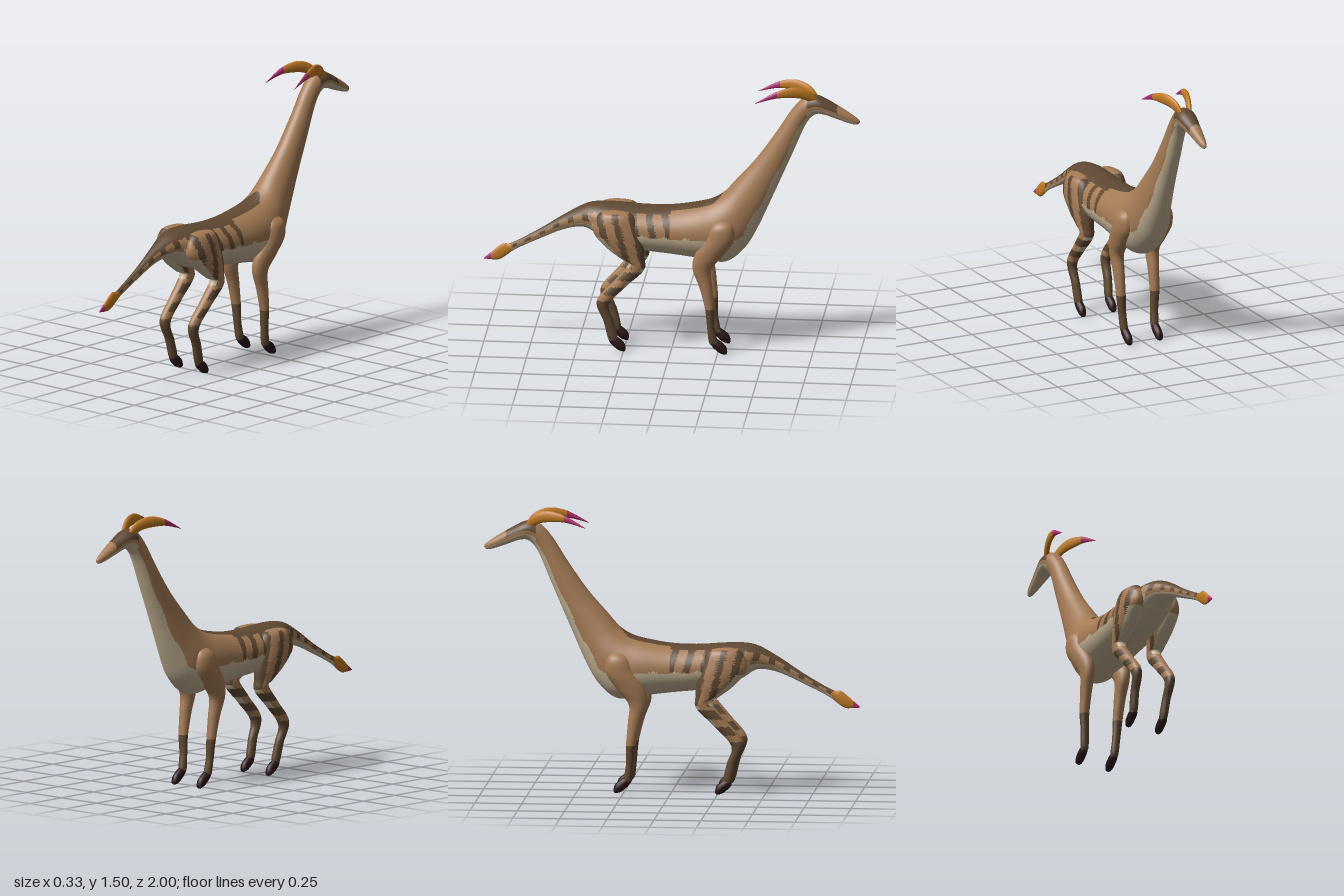
import * as THREE from 'three';

const mat = (name, color) => {
  const m = new THREE.MeshStandardMaterial({ color });
  m.name = name;
  return m;
};
const TAN = 0, DARK = 1, CREAM = 2, ORANGE = 3, PINK = 4, HOOF = 5;

// Smooth interpolation between the cross-section rows
function spline(p0, p1, p2, p3, t) {
  return 0.5 * (2 * p1 + (p2 - p0) * t + (2 * p0 - 5 * p1 + 4 * p2 - p3) * t * t
    + (3 * p1 - p0 - 3 * p2 + p3) * t * t * t);
}

// Lofts ellipses. Row: [zA, yA, zB, yB, halfWidth, centreX], A and B being opposite
// edges in the side plane. paint(x, y, z, s) picks a colour; s runs from 1 at A to -1 at B.
function loft(name, rows, mats, paint, { sides = 24, steps = 6, side = 1 } = {}) {
  const pos = [], sVal = [], n = (rows.length - 1) * steps;
  for (let i = 0; i <= n; i++) {
    const k = Math.min(Math.floor(i / steps), rows.length - 2), t = i / steps - k;
    const row = (j) => rows[Math.max(0, Math.min(rows.length - 1, j))];
    const [zA, yA, zB, yB, w, cx] = [0, 1, 2, 3, 4, 5].map((c) =>
      spline(row(k - 1)[c] || 0, row(k)[c] || 0, row(k + 1)[c] || 0, row(k + 2)[c] || 0, t));
    for (let j = 0; j < sides; j++) {
      const a = (j / sides) * Math.PI * 2, c = Math.cos(a);
      pos.push(cx * side + Math.sin(a) * Math.max(w, 0),
        (yA + yB) / 2 + c * (yA - yB) / 2, (zA + zB) / 2 + c * (zA - zB) / 2);
      sVal.push(c);
    }
  }
  const buckets = mats.map(() => []);
  const tri = (...v) => {
    const mid = (o) => (pos[v[0] * 3 + o] + pos[v[1] * 3 + o] + pos[v[2] * 3 + o]) / 3;
    const s = (sVal[v[0]] + sVal[v[1]] + sVal[v[2]]) / 3;
    buckets[paint(mid(0), mid(1), mid(2), s)].push(...v);
  };
  for (let i = 0; i < n; i++) {
    for (let j = 0; j < sides; j++) {
      const a = i * sides + j, b = i * sides + (j + 1) % sides;
      tri(a, b, a + sides);
      tri(b, b + sides, a + sides);
    }
  }
  const geo = new THREE.BufferGeometry();
  geo.setAttribute('position', new THREE.Float32BufferAttribute(pos, 3));
  geo.setIndex(buckets.flat());
  let start = 0;
  buckets.forEach((b, m) => {
    if (b.length) geo.addGroup(start, b.length, m);
    start += b.length;
  });
  geo.computeVertexNormals();
  const mesh = new THREE.Mesh(geo, mats);
  mesh.name = name;
  return mesh;
}

// Slanted flank stripes
const stripe = (y, z) => {
  const p = (z + 0.25 * (0.8 - y) - 0.035) / 0.087;
  return Math.abs(p - Math.round(p)) < 0.21;
};

function paintBody(x, y, z, s) {
  if (z > 0.963) return PINK;
  if (z > 0.845 + 0.02 * s * s) return ORANGE;
  if (z < -0.72 && y > 1.28) {
    if (s < -0.3) return CREAM;
    return z > -0.88 && s > 0.05 ? DARK : TAN;
  }
  // Pale underside, high on the belly and narrow on neck and tail
  const f = THREE.MathUtils.clamp((-0.15 - z) / 0.25, 0, 1);
  const edge = z > 0.42 ? -0.4 : THREE.MathUtils.lerp(-0.08, -0.52, f) + 0.05 * Math.sin(z * 55);
  if (s < edge) return CREAM;
  // Dark saddle, tail ridge and stripes
  if (z > 0.42) return s > 0.5 || (s > -0.15 && stripe(y, z)) ? DARK : TAN;
  const half = z < 0 ? 0.055 * Math.sqrt(Math.min(1, Math.max(0, (z + 0.27) / 0.05))) : 0.075;
  if (s > 0 && z > -0.27 && Math.abs(x) < half) return DARK;
  return z > 0 && y > 0.66 && stripe(y, z) ? DARK : TAN;
}

function paintHind(x, y, z, s) {
  if (y < 0.29) return DARK;
  if (y > 0.48) {
    if (s < -0.65 && y < 0.65) return CREAM;
    return stripe(y, z) && y < 0.78 ? DARK : TAN;
  }
  if (y < 0.46 && y > 0.41 || y < 0.37 && y > 0.325) return s > -0.75 ? DARK : TAN;
  return s > 0.55 && y > 0.36 ? CREAM : TAN;
}

const bodyRows = [
  [1, 0.47, 1, 0.466, 0.002], [0.965, 0.5, 0.955, 0.462, 0.008],
  [0.9, 0.553, 0.91, 0.468, 0.012], [0.85, 0.56, 0.83, 0.525, 0.012],
  [0.7, 0.645, 0.7, 0.59, 0.02], [0.57, 0.73, 0.57, 0.648, 0.036],
  [0.46, 0.79, 0.46, 0.665, 0.07], [0.38, 0.805, 0.38, 0.62, 0.105],
  [0.28, 0.803, 0.28, 0.57, 0.13], [0.14, 0.793, 0.14, 0.55, 0.14],
  [0, 0.797, 0, 0.535, 0.14], [-0.14, 0.82, -0.16, 0.515, 0.145],
  [-0.22, 0.845, -0.29, 0.5, 0.14], [-0.28, 0.885, -0.39, 0.58, 0.12],
  [-0.34, 0.953, -0.46, 0.7, 0.095], [-0.45, 1.08, -0.54, 0.88, 0.07],
  [-0.555, 1.23, -0.635, 1.1, 0.055], [-0.635, 1.355, -0.71, 1.275, 0.047],
  [-0.7, 1.425, -0.76, 1.335, 0.05], [-0.77, 1.442, -0.81, 1.338, 0.052],
  [-0.86, 1.4, -0.875, 1.315, 0.038], [-0.95, 1.345, -0.95, 1.29, 0.024],
  [-0.99, 1.315, -0.985, 1.285, 0.012], [-1, 1.3, -1, 1.3, 0],
];

const hindRows = [
  [0.28, 0.79, 0.32, 0.79, 0, 0.09], [0.2, 0.77, 0.38, 0.77, 0.045, 0.1],
  [0.16, 0.68, 0.41, 0.68, 0.06, 0.105], [0.14, 0.6, 0.34, 0.59, 0.055, 0.105],
  [0.135, 0.53, 0.255, 0.525, 0.042, 0.105], [0.14, 0.465, 0.22, 0.5, 0.036, 0.105],
  [0.235, 0.37, 0.3, 0.4, 0.03, 0.103], [0.325, 0.265, 0.39, 0.285, 0.026, 0.1],
  [0.3, 0.17, 0.355, 0.17, 0.022, 0.095], [0.28, 0.08, 0.33, 0.07, 0.02, 0.09],
  [0.295, 0.05, 0.31, 0.05, 0, 0.09],
];

const frontRows = [
  [-0.29, 0.77, -0.27, 0.77, 0, 0.1], [-0.335, 0.73, -0.22, 0.73, 0.04, 0.115],
  [-0.34, 0.65, -0.18, 0.65, 0.05, 0.115], [-0.28, 0.56, -0.13, 0.56, 0.045, 0.11],
  [-0.22, 0.48, -0.12, 0.48, 0.036, 0.105], [-0.225, 0.38, -0.155, 0.38, 0.03, 0.102],
  [-0.235, 0.26, -0.185, 0.26, 0.026, 0.1], [-0.235, 0.16, -0.195, 0.16, 0.022, 0.095],
  [-0.25, 0.07, -0.205, 0.07, 0.02, 0.09], [-0.235, 0.05, -0.225, 0.05, 0, 0.09],
];

const hoofRows = [
  [0.31, 0.08, 0.315, 0.078, 0, 0.09], [0.29, 0.085, 0.325, 0.055, 0.02, 0.09],
  [0.25, 0.055, 0.285, 0.015, 0.022, 0.09], [0.238, 0.025, 0.25, 0.002, 0.015, 0.09],
  [0.24, 0.008, 0.24, 0.008, 0, 0.09],
];

const hornRows = [
  [-0.45, 1.42, -0.45, 1.418, 0, 0.102], [-0.555, 1.48, -0.555, 1.445, 0.01, 0.088],
  [-0.635, 1.503, -0.635, 1.445, 0.014, 0.068], [-0.695, 1.497, -0.69, 1.437, 0.015, 0.05],
  [-0.745, 1.47, -0.725, 1.42, 0.014, 0.035], [-0.78, 1.42, -0.74, 1.41, 0.01, 0.025],
];

export function createModel() {
  const mats = [
    mat('tan coat', 0xa57b55), mat('dark brown coat', 0x5f4832), mat('cream coat', 0xc4b294),
    mat('orange horn', 0xc07a22), mat('magenta tip', 0xb0306f), mat('black hoof', 0x2a1416),
  ];
  const model = new THREE.Group();
  model.name = 'longNeckedAntelope';
  model.add(loft('body', bodyRows, mats, paintBody, { sides: 64, steps: 12 }));

  for (const side of [1, -1]) {
    const label = side > 0 ? 'Left' : 'Right';
    const fine = { sides: 32, steps: 10, side };
    model.add(loft('hindLeg' + label, hindRows, mats, paintHind, fine));
    model.add(loft('frontLeg' + label, frontRows, mats,
      (x, y) => (y < 0.26 ? DARK : TAN), fine));
    model.add(loft('horn' + label, hornRows, mats,
      (x, y, z) => (z > -0.565 ? PINK : ORANGE), { sides: 16, steps: 8, side }));
    for (const [name, dz] of [['hindHoof', 0], ['frontHoof', -0.54]]) {
      const hoof = loft(name + label, hoofRows, mats, () => HOOF, { sides: 16, side });
      hoof.position.z = dz;
      model.add(hoof);
    }
  }
  return model;
}
